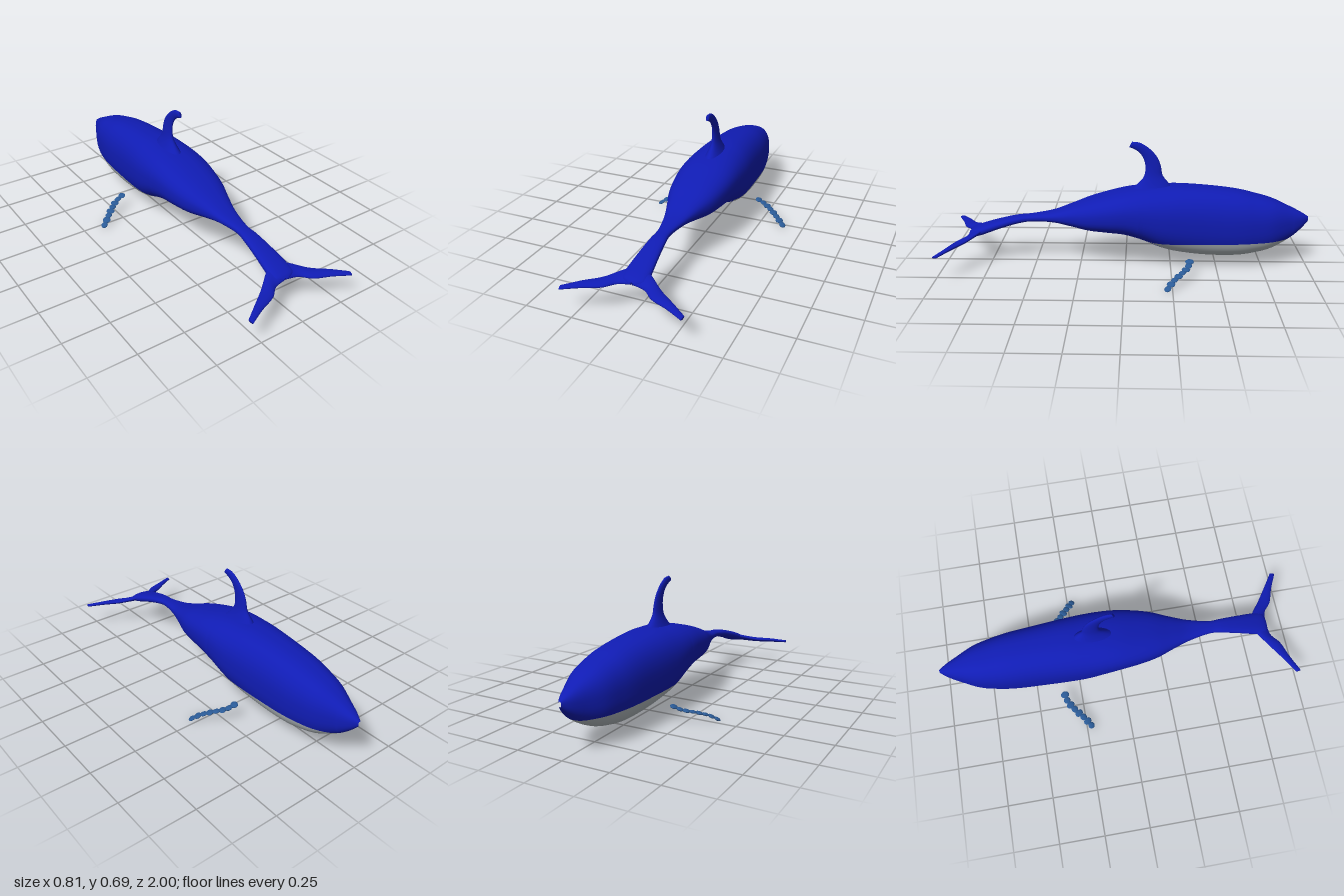
import * as THREE from 'three';

const blue = new THREE.MeshStandardMaterial({ color: 0x101cb4 });
const pale = new THREE.MeshStandardMaterial({ color: 0xb4bcc0 });
const finBlue = new THREE.MeshStandardMaterial({ color: 0x2a5a96, flatShading: true });

// Skin a list of equal-length point rings; closed rings wrap round and get end caps
function loft(name, rings, material, closed) {
  const n = rings[0].length, pos = [], index = [];
  rings.forEach(r => r.forEach(p => pos.push(p.x, p.y, p.z)));
  const m = closed ? n : n - 1;
  for (let i = 0; i < rings.length - 1; i++) {
    for (let j = 0; j < m; j++) {
      const a = i * n + j, b = i * n + (j + 1) % n;
      index.push(a, b, a + n, b, b + n, a + n);
    }
  }
  if (closed) {
    const last = (rings.length - 1) * n;
    for (let j = 1; j < n - 1; j++) {
      index.push(0, j + 1, j, last, last + j, last + j + 1);
    }
  }
  const g = new THREE.BufferGeometry();
  g.setAttribute('position', new THREE.Float32BufferAttribute(pos, 3));
  g.setIndex(index);
  g.computeVertexNormals();
  const mesh = new THREE.Mesh(g, material);
  mesh.name = name;
  return mesh;
}

// Fin with elliptical sections, each from a leading point, a trailing point and a half thickness
function blade(name, sections, thickDir) {
  const lead = new THREE.CatmullRomCurve3(sections.map(s => new THREE.Vector3(...s[0])));
  const trail = new THREE.CatmullRomCurve3(sections.map(s => new THREE.Vector3(...s[1])));
  const thick = new THREE.SplineCurve(sections.map((s, i) => new THREE.Vector2(i, s[2])));
  const rings = [], steps = 24, sides = 20;
  for (let i = 0; i <= steps; i++) {
    const t = i / steps, a = lead.getPoint(t), b = trail.getPoint(t);
    const mid = a.clone().add(b).multiplyScalar(0.5), half = a.clone().sub(mid);
    const th = thick.getPoint(t).y;
    rings.push(Array.from({ length: sides }, (_, j) => {
      const q = j / sides * Math.PI * 2;
      return mid.clone().addScaledVector(half, Math.cos(q)).addScaledVector(thickDir, th * Math.sin(q));
    }));
  }
  return loft(name, rings, blue, true);
}

// Body sections from nose to tail: z, half width, top, bottom
const BODY = [
  [-1, 0.008, 0.28, 0.255], [-0.96, 0.035, 0.305, 0.21], [-0.9, 0.065, 0.335, 0.16],
  [-0.8, 0.11, 0.38, 0.105], [-0.7, 0.133, 0.408, 0.078], [-0.6, 0.147, 0.43, 0.065],
  [-0.45, 0.157, 0.447, 0.067], [-0.3, 0.167, 0.455, 0.085], [-0.2, 0.172, 0.452, 0.11],
  [-0.1, 0.171, 0.445, 0.153], [0, 0.165, 0.43, 0.185], [0.1, 0.152, 0.405, 0.196],
  [0.2, 0.13, 0.375, 0.205], [0.3, 0.093, 0.337, 0.225], [0.4, 0.06, 0.302, 0.243],
  [0.52, 0.036, 0.282, 0.243], [0.6, 0.042, 0.272, 0.23], [0.7, 0.053, 0.248, 0.2],
  [0.8, 0.064, 0.217, 0.165], [0.85, 0.06, 0.196, 0.158], [0.868, 0.02, 0.18, 0.168],
];
const WATERLINE = 0.165, ROUND = 0.82;

function bodyRows() {
  const [wide, top, low] = [1, 2, 3].map(k =>
    new THREE.SplineCurve(BODY.map(s => new THREE.Vector2(s[0], s[k]))));
  const pw = (v, e) => Math.sign(v) * Math.abs(v) ** e;
  return Array.from({ length: 121 }, (_, i) => {
    const t = i / 120, z = wide.getPoint(t).x, w = wide.getPoint(t).y;
    const hi = top.getPoint(t).y, lo = low.getPoint(t).y;
    const cy = (hi + lo) / 2, h = (hi - lo) / 2;
    const k = THREE.MathUtils.clamp((WATERLINE - cy) / h, -1, 1);
    // the pale belly stops where the body rises to the tail
    const split = z > 0 ? -Math.PI / 2 : Math.asin(pw(k, 1 / ROUND));
    return {
      z, split,
      gap: (split + Math.PI / 2) * THREE.MathUtils.smoothstep(z, -0.3, -0.1),
      at: q => new THREE.Vector3(w * pw(Math.cos(q), ROUND), cy + h * pw(Math.sin(q), ROUND), z),
    };
  });
}

// Strip of body skin between two section angles
function skin(name, rows, from, to, count, material) {
  return loft(name, rows.map(r => Array.from({ length: count + 1 }, (_, j) =>
    r.at(THREE.MathUtils.lerp(from(r), to(r), j / count)))), material, false);
}

export function createModel() {
  const model = new THREE.Group();
  model.name = 'whale';
  const DOWN = -Math.PI / 2;

  // Body: dark back, pale belly sides and the dark wedge under the rear belly
  const rows = bodyRows();
  const bellyRows = rows.filter(r => r.z > -0.94 && r.z < -0.03);
  const rearRows = rows.filter(r => r.z > -0.32 && r.z < -0.03);
  model.add(
    skin('back', rows, r => r.split, r => Math.PI - r.split, 48, blue),
    skin('leftBelly', bellyRows, r => DOWN + r.gap, r => r.split, 14, pale),
    skin('rightBelly', bellyRows, r => Math.PI - r.split, r => 1.5 * Math.PI - r.gap, 14, pale),
    skin('rearBelly', rearRows, r => DOWN - r.gap, r => DOWN + r.gap, 14, blue),
  );

  // Dorsal fin, curling back toward the tail
  model.add(blade('dorsalFin', [
    [[0, 0.43, -0.26], [0, 0.42, -0.02], 0.05],
    [[0, 0.465, -0.235], [0, 0.46, -0.065], 0.034],
    [[0, 0.51, -0.2], [0, 0.505, -0.1], 0.02],
    [[0, 0.56, -0.19], [0, 0.555, -0.107], 0.014],
    [[0, 0.61, -0.17], [0, 0.6, -0.097], 0.011],
    [[0, 0.66, -0.125], [0, 0.635, -0.075], 0.01],
    [[0, 0.69, -0.075], [0, 0.655, -0.045], 0.01],
    [[0, 0.695, -0.035], [0, 0.665, -0.02], 0.009],
  ], new THREE.Vector3(-1, 0, 0)));

  for (const s of [1, -1]) {
    const side = s > 0 ? 'left' : 'right';

    // Tail fluke
    model.add(blade(side + 'Fluke', [
      [[0, 0.21, 0.75], [0, 0.172, 0.867], 0.02],
      [[s * 0.07, 0.193, 0.8], [s * 0.07, 0.163, 0.878], 0.015],
      [[s * 0.15, 0.169, 0.862], [s * 0.125, 0.157, 0.922], 0.013],
      [[s * 0.23, 0.162, 0.918], [s * 0.215, 0.153, 0.957], 0.011],
      [[s * 0.31, 0.15, 0.972], [s * 0.305, 0.147, 1], 0.007],
    ], new THREE.Vector3(0, s, 0)));

    // Flipper: a chain of thin, separate chunks
    const flipper = new THREE.Group();
    flipper.name = side + 'Flipper';
    const path = new THREE.CatmullRomCurve3([
      [0.185, 0.096, -0.348], [0.24, 0.077, -0.335], [0.3, 0.06, -0.292],
      [0.35, 0.04, -0.25], [0.397, 0.011, -0.216],
    ].map(([x, y, z]) => new THREE.Vector3(s * x, y, z)));
    const chunks = 8;
    for (let i = 0; i < chunks; i++) {
      const t = (i + 0.5) / chunks;
      const chunk = new THREE.Mesh(new THREE.IcosahedronGeometry(1, 1), finBlue);
      chunk.name = 'flipperChunk';
      chunk.position.copy(path.getPointAt(t));
      chunk.lookAt(chunk.position.clone().add(path.getTangentAt(t)));
      chunk.scale.set(i % 2 ? 0.019 : 0.024, 0.008, 0.02);
      flipper.add(chunk);
    }
    model.add(flipper);
  }
  return model;
}
